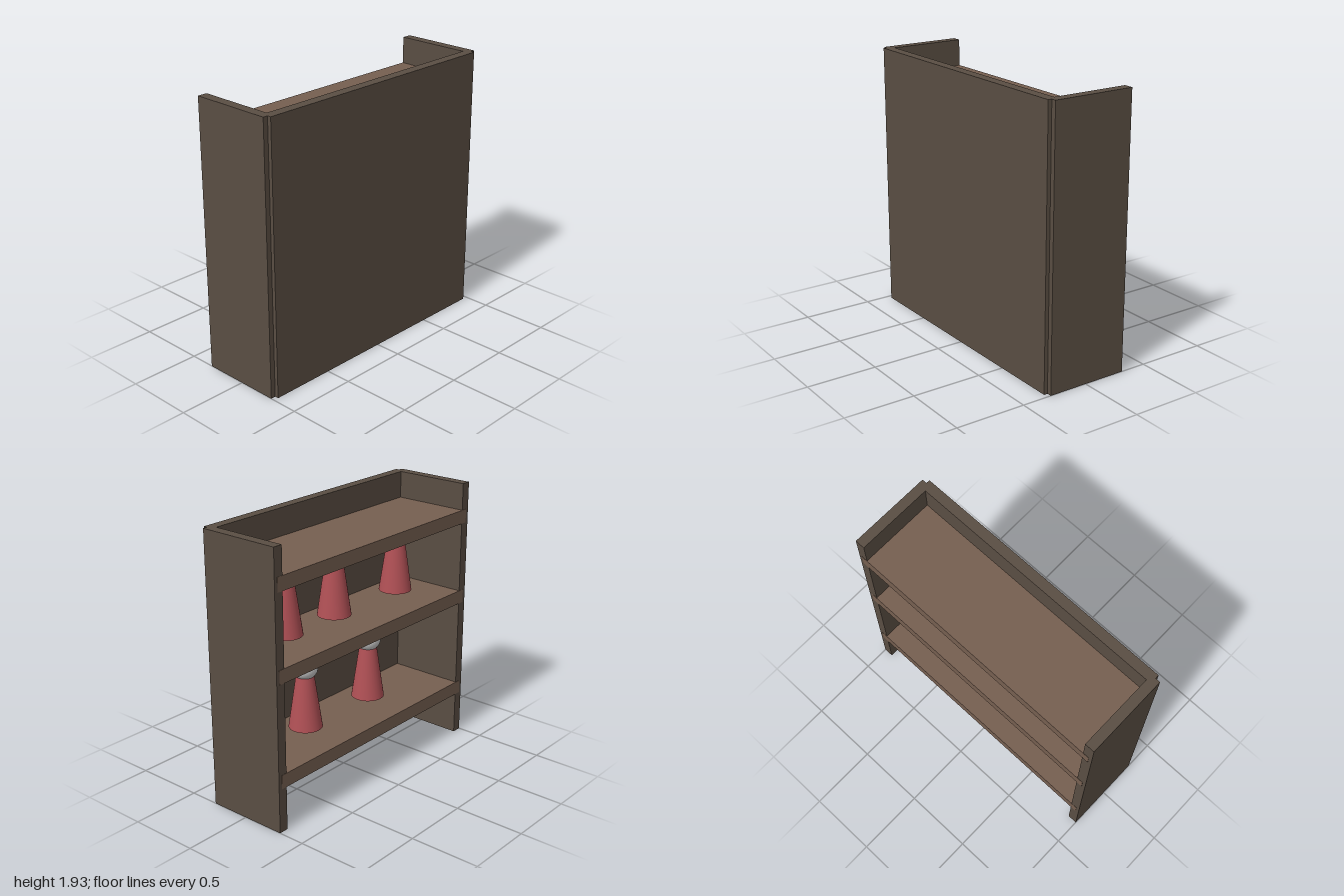
import * as THREE from 'three';

export function createModel() {
  const group = new THREE.Group();
  const mat = (color) => new THREE.MeshStandardMaterial({ color });
  const panelMat = mat(0x5a4e43);
  const shelfMat = mat(0x765f50);
  const bodyMat = mat(0xb05055);
  const headMat = mat(0xeeeeee);

  function add(name, geometry, material, x, y, z, parent = group) {
    const mesh = new THREE.Mesh(geometry, material);
    mesh.name = name;
    mesh.position.set(x, y, z);
    parent.add(mesh);
  }

  // Box given by its limits, centred on x = 0 unless shifted
  function slab(name, width, y0, y1, z0, z1, material, x = 0) {
    const geometry = new THREE.BoxGeometry(width, y1 - y0, z1 - z0);
    add(name, geometry, material, x, (y0 + y1) / 2, (z0 + z1) / 2);
  }

  // Counter front and two end panels
  slab('frontPanel', 1.93, 0, 1.93, 0.24, 0.312, panelMat);
  slab('leftPanel', 0.07, 0, 1.93, -0.31, 0.285, panelMat, 0.965);
  slab('rightPanel', 0.07, 0, 1.93, -0.31, 0.285, panelMat, -0.965);

  // Three shelves, let into the end panels and open at the back
  const shelfTops = [0.41, 1.135, 1.738];
  for (const top of shelfTops) {
    slab('shelf', 1.95, top - 0.098, top, -0.312, 0.25, shelfMat);
  }

  // Bottles: tapered body with a round head
  const bodyGeo = new THREE.CylinderGeometry(0.06, 0.117, 0.39, 32);
  const headGeo = new THREE.SphereGeometry(0.09, 32, 20);
  function bottle(x, y) {
    const item = new THREE.Group();
    item.name = 'bottle';
    item.position.set(x, y, -0.02);
    add('bottleBody', bodyGeo, bodyMat, 0, 0.195, 0, item);
    add('bottleHead', headGeo, headMat, 0, 0.438, 0, item);
    group.add(item);
  }
  for (const x of [0.423, -0.243]) bottle(x, 0.463);
  for (const x of [0.606, 0.122, -0.545]) bottle(x, 1.187);

  return group;
}
